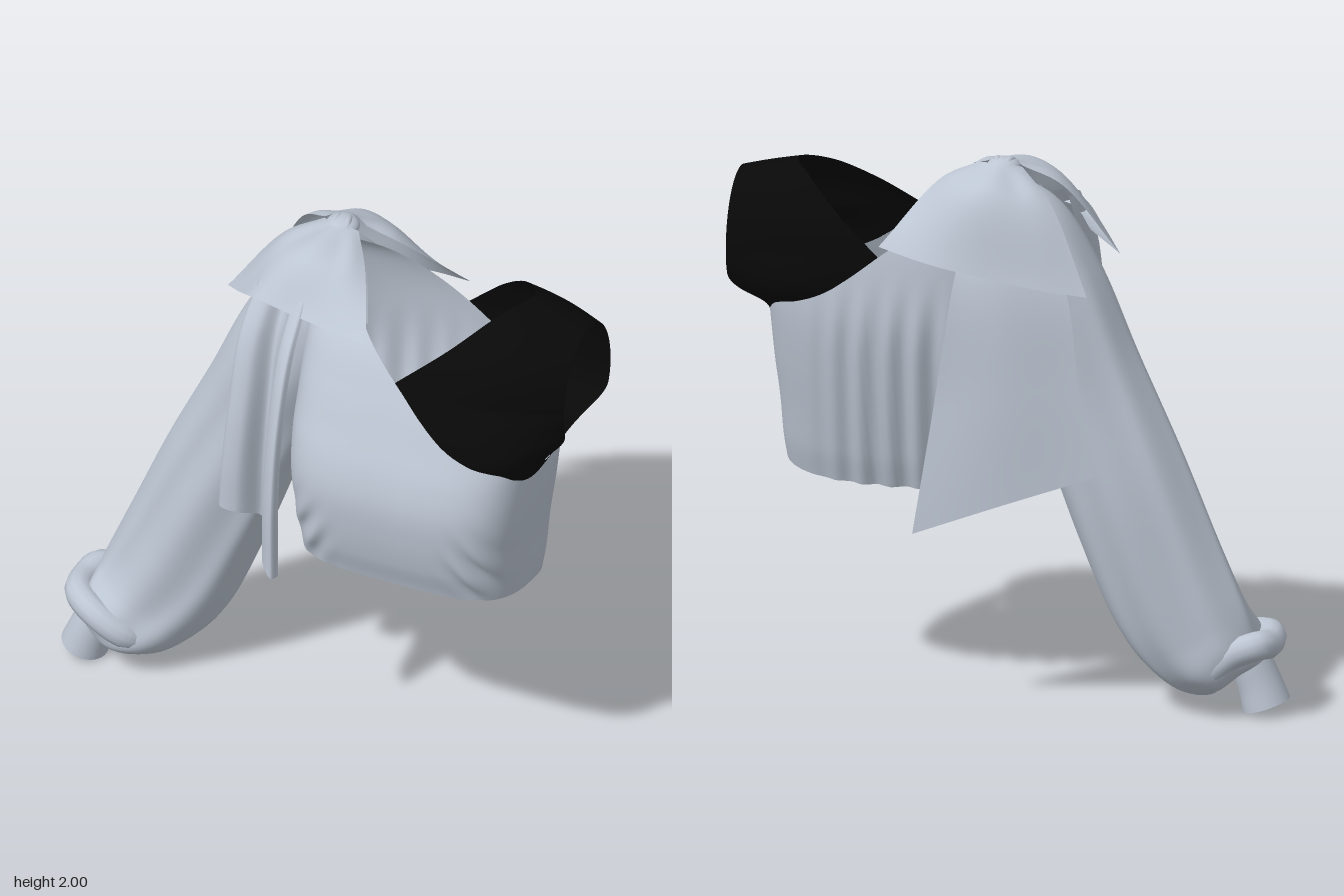
import * as THREE from 'three';

const V = (x, y, z) => new THREE.Vector3(x, y, z);
const fabric = new THREE.MeshStandardMaterial({ color: 0xbcc5d2, side: THREE.DoubleSide });
fabric.name = 'pale grey fabric';
const black = new THREE.MeshStandardMaterial({ color: 0x080808, side: THREE.DoubleSide });
black.name = 'black fabric';

// Smooth (cubic) lookup in [[key, value], ...]
function lookup(table, k) {
  const n = table.length - 1;
  if (k <= table[0][0]) return table[0][1];
  if (k >= table[n][0]) return table[n][1];
  let i = 0;
  while (k > table[i + 1][0]) i++;
  const slope = j => {
    const a = table[Math.max(j - 1, 0)], b = table[Math.min(j + 1, n)];
    return (b[1] - a[1]) / (b[0] - a[0]);
  };
  const [x0, y0] = table[i], [x1, y1] = table[i + 1], h = x1 - x0, t = (k - x0) / h, t2 = t * t, t3 = t2 * t;
  return y0 * (2 * t3 - 3 * t2 + 1) + y1 * (3 * t2 - 2 * t3) + h * (slope(i) * (t3 - 2 * t2 + t) + slope(i + 1) * (t3 - t2));
}

// Smooth grid surface from fn(u, v); closed wraps it round in u, skip(p) leaves an opening
function surface(nu, nv, fn, closed, skip = () => false) {
  const pts = [], idx = [], cols = closed ? nu : nu + 1;
  for (let j = 0; j <= nv; j++)
    for (let i = 0; i < cols; i++) pts.push(fn(i / nu, j / nv));
  for (let j = 0; j < nv; j++)
    for (let i = 0; i < nu; i++) {
      const a = j * cols + i, b = j * cols + (i + 1) % cols;
      if (!skip(pts[a])) idx.push(a, a + cols, b, b, a + cols, b + cols);
    }
  const g = new THREE.BufferGeometry().setFromPoints(pts);
  g.setIndex(idx);
  g.computeVertexNormals();
  return g;
}

// Surface through rows of points
function loft(rows, nu, nv, closed = false, fold = p => p) {
  const curves = rows.map(r => new THREE.CatmullRomCurve3(r, closed));
  const cache = new Map();
  return surface(nu, nv, (u, v) => {
    if (!cache.has(u)) cache.set(u, new THREE.CatmullRomCurve3(curves.map(c => c.getPoint(u))));
    return fold(cache.get(u).getPoint(v), u, v);
  }, closed);
}

// Bodice outline: front depth, back depth and half width by height
const FRONT = [[.78, .31], [.9, .345], [1, .38], [1.13, .405], [1.25, .41], [1.36, .385], [1.47, .335],
  [1.6, .27], [1.75, .17], [1.88, 0], [1.95, -.12]];
const BACK = [[.78, -.2], [.9, -.24], [1.2, -.31], [1.4, -.34], [1.6, -.335], [1.75, -.31], [1.85, -.26], [1.95, -.14]];
const WIDTH = [[.78, .4], [.9, .415], [1.05, .425], [1.2, .44], [1.4, .45]];
const TOP = [[-.03, 1.95], [.02, 1.93], [.2, 1.8], [.4, 1.65], [.5, 1.57], [.6, 1.5], [.7, 1.455], [.8, 1.42], [.84, 1.38], [.865, 1.34]];
const CX = .415;
const power = (c, n) => Math.sign(c) * Math.abs(c) ** (2 / n);

function ringPoint(a, y) {
  const n = 3 + .5 * Math.sin(a), c = power(Math.cos(a), n), s = power(Math.sin(a), n);
  const f = lookup(FRONT, y), b = lookup(BACK, y);
  const x = CX + lookup(WIDTH, y) * c;
  let z = (f + b) / 2 + (f - b) / 2 * s;
  // Gathers down the back, slanting tucks at the lower front corners
  if (s < 0) {
    const low = THREE.MathUtils.smoothstep(1.6 - y, 0, .3) * THREE.MathUtils.smoothstep(.75 - x, 0, .3);
    z += .012 * s * low * Math.sin(x * 62 + y * 3);
  } else {
    const d = Math.abs(x - CX);
    const tuck = Math.exp(-(((y - 1.02) / .12) ** 2)) * Math.exp(-(((d - .33) / .08) ** 2));
    z += .016 * s * tuck * Math.sin(d * 60 + y * 34);
  }
  return V(x, y, z);
}
const topPoint = a => ringPoint(a, lookup(TOP, CX + .45 * power(Math.cos(a), 3 + .5 * Math.sin(a))));

// Bodice shell, open into the sleeve
function bodiceGeometry() {
  return surface(200, 56, (u, v) => {
    const a = u * Math.PI * 2, s = Math.sin(a);
    const hem = .84 + .05 * power(s, 3) + (s < 0 ? .01 * s : 0);
    return ringPoint(a, THREE.MathUtils.lerp(hem, topPoint(a).y, v));
  }, true, p => p.x < .05 && ((p.y - 1.62) / .26) ** 2 + ((p.z + .11) / .16) ** 2 < 1);
}

// Black shoulder: stretched between neckline, bodice edge and armhole
function shoulderGeometry() {
  const a0 = Math.PI / 2 + .01, front = topPoint(a0), back = topPoint(-a0);
  const neck = new THREE.CatmullRomCurve3([back, V(.55, 1.78, -.31), V(.68, 1.885, -.22), V(.75, 1.92, -.12),
    V(.67, 1.885, 0), V(.54, 1.785, .14), front]);
  return surface(120, 16, (u, v) => {
    const t = u * Math.PI * 2, s = Math.sin(t);
    const p = u < .5 ? topPoint(a0 * (1 - 4 * u)) : neck.getPoint((u - .5) * 2);
    const y = 1.61 - .25 * s;
    const q = V(.965 - .095 * (1 - THREE.MathUtils.smoothstep(y, 1.35, 1.52)), y,
      -.09 + .19 * Math.cos(t) + .11 * Math.max(s, 0) ** 3);
    p.lerp(q, v);
    p.z += (Math.cos(t) > 0 ? .065 : .03) * Math.cos(t) * Math.sin(Math.PI * v);
    return p;
  }, true);
}

// Oval ring between an outer and an inner point, with z centre and half depth
function oval(ox, oy, ix, iy, zc, d) {
  return Array.from({ length: 16 }, (_, i) => {
    const a = i / 16 * Math.PI * 2, k = (1 + Math.cos(a)) / 2;
    return V(ix + (ox - ix) * k, iy + (oy - iy) * k, zc + d * Math.sin(a));
  });
}

export function createModel() {
  const group = new THREE.Group();
  const add = (name, geometry, material = fabric) => {
    const m = new THREE.Mesh(geometry, material);
    m.name = name;
    group.add(m);
    return m;
  };

  add('bodice', bodiceGeometry());
  add('blackShoulder', shoulderGeometry(), black);

  // Full sleeve, gathered at the wrist
  add('sleeve', loft([
    oval(.0, 1.93, .0, 1.32, -.11, .19),
    oval(-.17, 1.83, -.03, 1.22, -.09, .2),
    oval(-.31, 1.62, -.08, 1.1, -.08, .19),
    oval(-.45, 1.3, -.14, .93, -.075, .175),
    oval(-.61, .95, -.26, .6, -.07, .17),
    oval(-.755, .6, -.38, .31, -.055, .155),
    oval(-.84, .4, -.47, .18, -.035, .155),
    oval(-.87, .32, -.6, .08, .0, .175),
    oval(-.89, .25, -.71, .07, .015, .14),
    oval(-.9, .21, -.775, .13, .03, .085),
  ], 72, 60, true, (p, u, v) => {
    const w = .009 * Math.sin(Math.PI * v);
    p.z += w * Math.sin(u * Math.PI * 14 + v * 7);
    p.x += w * Math.sin(u * Math.PI * 10 + v * 9) * .6;
    return p;
  }));

  // Cuff
  add('cuff', loft([
    oval(-.9, .22, -.775, .13, .03, .08),
    oval(-.935, .14, -.795, .07, .035, .085),
    oval(-.97, .06, -.81, .005, .035, .092),
  ], 40, 8, true));

  // Puffed fold wrapped round the wrist
  const wrap = new THREE.CatmullRomCurve3([V(-.91, .27, -.02), V(-.89, .275, .08), V(-.8, .25, .14), V(-.7, .19, .13),
    V(-.65, .13, .02), V(-.7, .16, -.1), V(-.81, .25, -.11), V(-.89, .28, -.09)], true);
  add('wristFold', new THREE.TubeGeometry(wrap, 60, .052, 12, true));

  // Bow on the shoulder: front wing with its turned-under edge, and back wing
  const frontEdge = [V(-.39, 1.65, -.06), V(-.3, 1.715, .04), V(-.2, 1.778, .13), V(-.05, 1.775, .16), V(.1, 1.772, .185), V(.26, 1.77, .21)];
  add('bowFrontWing', loft([
    [V(-.07, 1.97, -.16), V(-.02, 1.985, -.13), V(.02, 1.985, -.13), V(.07, 1.97, -.14)],
    [V(-.2, 1.9, -.12), V(-.14, 1.925, .0), V(.04, 1.93, .05), V(.15, 1.92, -.02)],
    frontEdge,
  ], 36, 20, false, (p, u, v) => {
    p.y += .008 * Math.sin(Math.PI * v) * Math.sin(u * 16);
    return p;
  }));
  add('bowFrontUnderside', loft([
    frontEdge,
    [V(-.28, 1.72, -.04), V(-.17, 1.765, .09), V(.03, 1.765, .13), V(.18, 1.8, .13)],
  ], 30, 4));
  add('bowBackWing', loft([
    [V(-.07, 1.97, -.17), V(-.02, 1.985, -.2), V(.03, 1.985, -.2), V(.09, 1.975, -.17)],
    [V(-.2, 1.87, -.26), V(-.08, 1.89, -.32), V(.1, 1.91, -.32), V(.21, 1.92, -.2)],
    [V(-.35, 1.57, -.335), V(-.2, 1.595, -.38), V(0, 1.63, -.405), V(.2, 1.665, -.41), V(.39, 1.7, -.37)],
  ], 36, 20, false, (p, u, v) => {
    p.y += .008 * Math.sin(Math.PI * v) * Math.sin(u * 16);
    return p;
  }));

  // Knot with two small gathers
  const knot = add('bowKnot', new THREE.SphereGeometry(1, 24, 16));
  knot.scale.set(.06, .035, .06);
  knot.position.set(0, 1.962, -.16);
  for (const s of [-1, 1]) {
    const pleat = add('knotPleat', new THREE.TorusGeometry(.035, .013, 10, 24));
    pleat.position.set(s * .022, 1.952, -.16);
    pleat.rotation.y = Math.PI / 2 + s * .2;
  }

  // Front tail, hanging in two deep folds: x, z outline scaled and dropped by height
  const outline = [[-.25, .09], [-.285, .19], [-.27, .27], [-.2, .275], [-.14, .2], [-.1, .25], [-.07, .35], [-.02, .39], [-.004, .36]];
  const tailRow = (y, kx, kz, dz, drop) => outline.map(([x, z]) =>
    V(x * kx, y - drop * THREE.MathUtils.smoothstep(x, -.22, 0), z * kz + dz));
  add('bowFrontTail', loft([
    tailRow(1.82, .75, .45, -.04, 0),
    tailRow(1.65, .86, .7, -.01, 0),
    tailRow(1.4, .9, .9, 0, 0),
    tailRow(1.15, .96, 1, 0, .04),
    tailRow(.96, 1, 1, 0, .16),
  ], 48, 30));

  // Broad back tail, widening to a slanted end
  add('bowBackTail', loft([
    [V(-.14, 1.84, -.26), V(-.03, 1.84, -.3), V(.08, 1.84, -.26)],
    [V(-.27, 1.58, -.32), V(-.06, 1.58, -.37), V(.12, 1.6, -.365)],
    [V(-.32, 1.25, -.335), V(-.06, 1.2, -.385), V(.19, 1.14, -.375)],
    [V(-.38, .92, -.335), V(-.06, .805, -.38), V(.26, .68, -.4)],
  ], 24, 24));

  return group;
}
